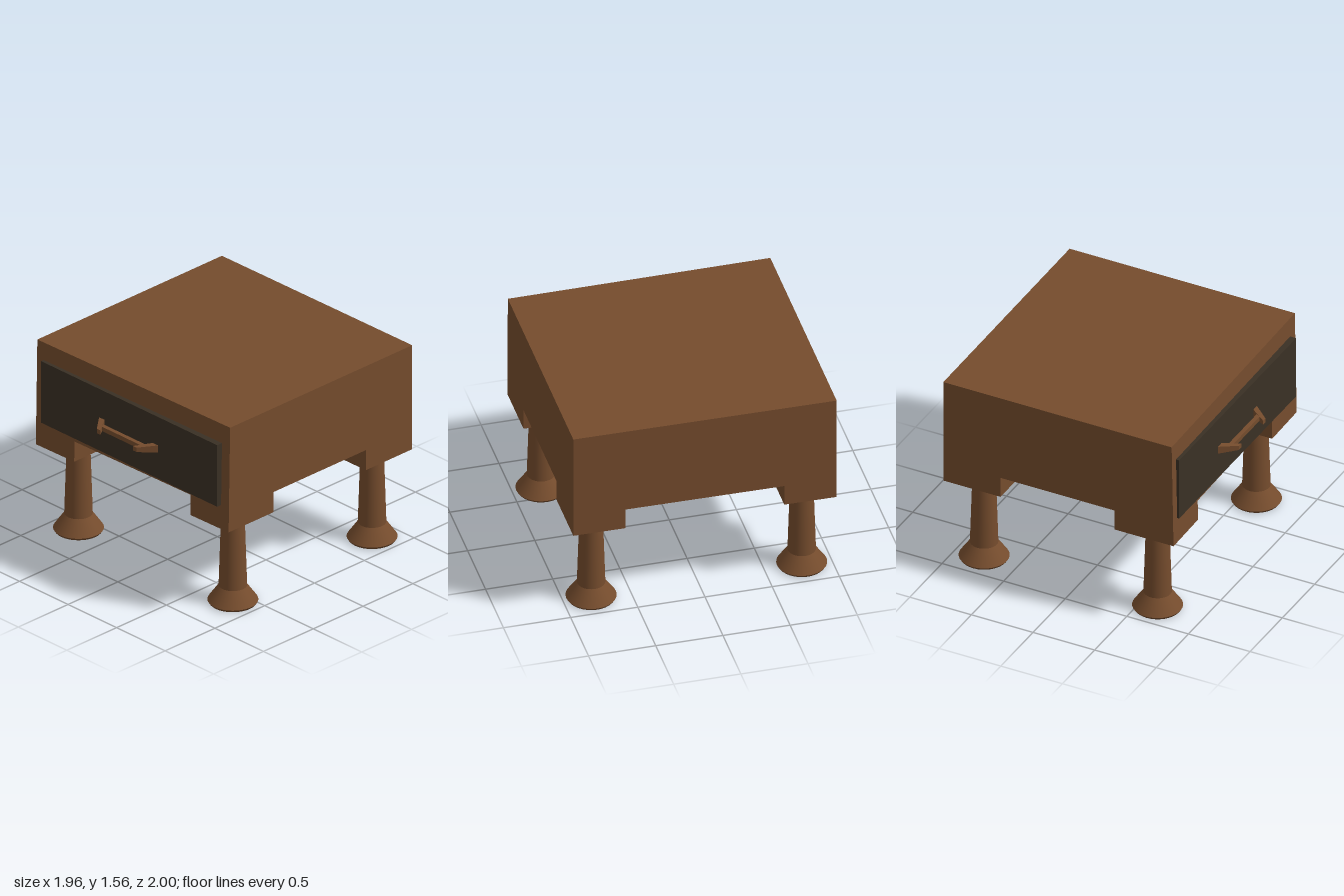
import * as THREE from 'three';

const wood = new THREE.MeshStandardMaterial({ color: 0x754c2d });
wood.name = 'brown wood';
const dark = new THREE.MeshStandardMaterial({ color: 0x3a3024 });
dark.name = 'dark drawer wood';

// Box between two corners, optionally reshaped by a vertex rule
function block(name, material, [x0, y0, z0], [x1, y1, z1], rule) {
  const geometry = new THREE.BoxGeometry(x1 - x0, y1 - y0, z1 - z0);
  geometry.translate((x0 + x1) / 2, (y0 + y1) / 2, (z0 + z1) / 2);
  if (rule) {
    const p = geometry.attributes.position;
    const v = new THREE.Vector3();
    for (let i = 0; i < p.count; i++) {
      rule(v.fromBufferAttribute(p, i));
      p.setXYZ(i, v.x, v.y, v.z);
    }
    geometry.computeVertexNormals();
  }
  const mesh = new THREE.Mesh(geometry, material);
  mesh.name = name;
  return mesh;
}

// The hand-made carcass leans a little: a sloping top and a skewed front
function skew(v) {
  if (v.z > 0.8) v.z += -0.013 * v.x - 0.018 * (v.y - 1.13);
  v.y += 0.006 * v.x;
}

// Turned leg with a flared collar, tapered shaft and wide foot
function makeLeg(name, x, z) {
  const profiles = [
    [[0, 0], [0.172, 0], [0.184, 0.018]],
    [[0.184, 0.018], [0.103, 0.135]],
    [[0.103, 0.135], [0.086, 0.67]],
    [[0.086, 0.67], [0.1, 0.715]],
  ];
  const leg = new THREE.Group();
  leg.name = name;
  const parts = ['footRim', 'footFlare', 'shaft', 'collar'];
  profiles.forEach((profile, i) => {
    const points = profile.map(([r, y]) => new THREE.Vector2(r, y));
    const mesh = new THREE.Mesh(new THREE.LatheGeometry(points, 32), wood);
    mesh.name = parts[i];
    leg.add(mesh);
  });
  leg.position.set(x, 0, z);
  return leg;
}

export function createModel() {
  const model = new THREE.Group();
  model.name = 'nightstand';

  // Carcass
  model.add(block('carcass', wood, [-0.98, 0.87, -1], [0.98, 1.552, 0.848], skew));

  // Corner blocks and legs
  for (const [side, s] of [['left', 1], ['right', -1]]) {
    const x0 = s > 0 ? 0.59 : -0.98;
    model.add(block(side + 'FrontBlock', wood, [x0, 0.707, 0.39], [x0 + 0.39, 0.87, 0.848], skew));
    model.add(block(side + 'BackBlock', wood, [x0, 0.707, -1], [x0 + 0.39, 0.87, -0.535], skew));
    const x = s > 0 ? 0.79 : -0.78;
    model.add(makeLeg(side + 'FrontLeg', x, 0.625 - 0.01 * s));
    model.add(makeLeg(side + 'BackLeg', x, -0.778 - 0.005 * s));
  }

  // Drawer front
  model.add(block('drawerFront', dark, [-0.915, 0.905, 0.825], [0.9, 1.405, 0.88]));

  // Handle: a bar held between two slanted, tapering brackets
  const handle = new THREE.Group();
  handle.name = 'handle';
  handle.add(block('bar', wood, [-0.235, 1.13, 0.922], [0.215, 1.165, 0.955]));
  for (const s of [1, -1]) {
    const bracket = block(s > 0 ? 'leftBracket' : 'rightBracket', wood,
      [-0.028, -0.03, 0.875], [0.028, 0.03, 1], (v) => {
        const tip = v.z > 0.95;
        v.x = v.x * (tip ? 0.65 : 1) + s * (tip ? 0.187 : 0.28) - 0.012;
        v.y = v.y * (tip ? 0.6 : 1) + 1.145;
      });
    handle.add(bracket);
  }
  model.add(handle);

  return model;
}
